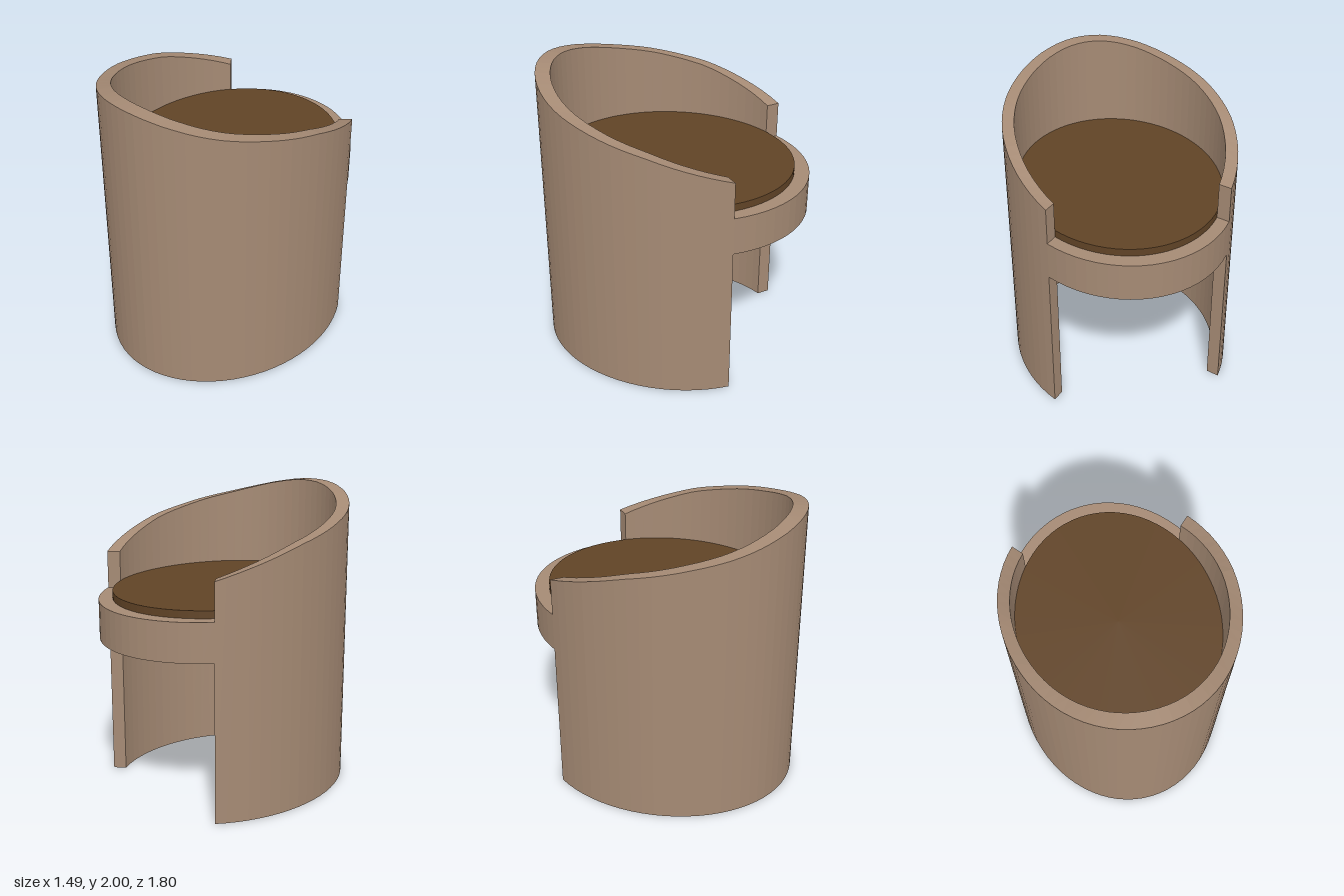
import * as THREE from 'three';

const OUTER = [0.745, 0.9], INNER = [0.668, 0.8]; // ellipse radii in x and z
const LEFT_END = THREE.MathUtils.degToRad(126);   // angles measured from the front (+z)
const RIGHT_END = THREE.MathUtils.degToRad(-131.8);

// Rim height, from the front (u = 0) to the rear edge of the opening (u = 1)
const RIM = [[0, 2], [0.06, 1.996], [0.12, 1.985], [0.217, 1.955], [0.38, 1.89], [0.505, 1.845], [0.714, 1.755], [1, 1.58]];
function rimHeight(t) {
  const u = t >= 0 ? t / LEFT_END : t / RIGHT_END;
  let i = 1;
  while (i < RIM.length - 1 && u > RIM[i][0]) i++;
  const [u0, h0] = RIM[i - 1], [u1, h1] = RIM[i];
  return h0 + (h1 - h0) * (u - u0) / (u1 - u0);
}

// Elliptical wall swept from t0 to t1; group 0 is the wall, group 1 its underside
function ellipticWall(t0, t1, segments, bottom, topAt) {
  const sections = [];
  for (let i = 0; i <= segments; i++) {
    const t = t0 + (t1 - t0) * i / segments, top = topAt(t);
    const at = ([a, b], y) => [a * Math.sin(t), y, b * Math.cos(t)];
    sections.push([at(OUTER, bottom), at(OUTER, top), at(INNER, top), at(INNER, bottom)]);
  }
  const pos = [];
  const quad = (a, b, c, d) => pos.push(...a, ...b, ...c, ...a, ...c, ...d);
  const strip = (k) => {
    for (let i = 0; i < segments; i++) {
      const p = sections[i], q = sections[i + 1], n = (k + 1) % 4;
      quad(p[k], q[k], q[n], p[n]);
    }
  };
  [0, 1, 2].forEach(strip);
  quad(...sections[0]);
  quad(...[...sections[segments]].reverse());
  const wallCount = pos.length / 3;
  strip(3);
  const geo = new THREE.BufferGeometry();
  geo.setAttribute('position', new THREE.Float32BufferAttribute(pos, 3));
  geo.addGroup(0, wallCount, 0);
  geo.addGroup(wallCount, pos.length / 3 - wallCount, 1);
  geo.computeVertexNormals();
  return geo;
}

export function createModel() {
  const group = new THREE.Group();
  const beige = new THREE.MeshStandardMaterial({ color: 0xa58a74, flatShading: true });
  const brown = new THREE.MeshStandardMaterial({ color: 0x604326, flatShading: true });
  const add = (name, geo, material) => {
    const mesh = new THREE.Mesh(geo, material);
    mesh.name = name;
    group.add(mesh);
    return mesh;
  };

  // Tall curved shell, open at the back, with a sloping rim
  add('shell', ellipticWall(RIGHT_END, LEFT_END, 52, 0, rimHeight), [beige, brown]);

  // Band closing the opening around the seat
  add('seatBand', ellipticWall(LEFT_END, RIGHT_END + Math.PI * 2, 20, 1.07, () => 1.33), [beige, brown]);

  // Oval seat, standing a little above the band
  const seat = add('seat', new THREE.CylinderGeometry(1, 1, 0.31, 72), brown);
  seat.scale.set(INNER[0], 1, INNER[1]);
  seat.position.y = 1.225;

  return group;
}
